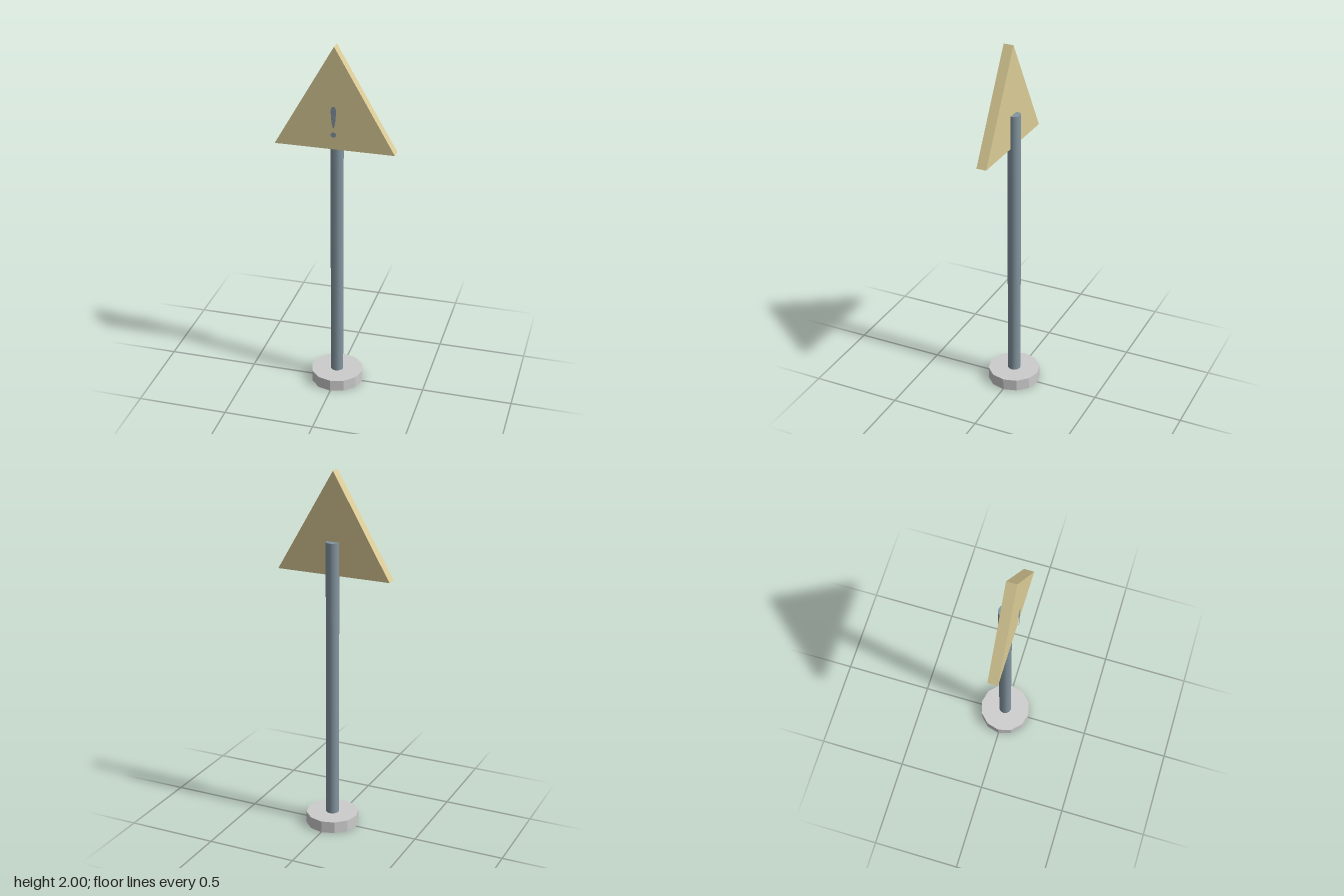
import * as THREE from 'three';

export function createModel() {
  const group = new THREE.Group();
  const mat = (name, color, extra = {}) => new THREE.MeshStandardMaterial({ name, color, ...extra });
  const concrete = mat('pale grey', 0xcccccc, { flatShading: true });
  const steel = mat('blue grey', 0x8395a0);
  const steelFlat = mat('blue grey mark', 0x8395a0, { side: THREE.DoubleSide });
  const sand = mat('sand yellow', 0xdacb96, { flatShading: true });

  const add = (name, geometry, material, y = 0, z = 0) => {
    const mesh = new THREE.Mesh(geometry, material);
    mesh.name = name;
    mesh.position.set(0, y, z);
    group.add(mesh);
  };

  // Twelve-sided foot and the pole running through it
  add('base', new THREE.CylinderGeometry(0.146, 0.146, 0.066, 12), concrete, 0.033, -0.001);
  add('pole', new THREE.CylinderGeometry(0.036, 0.036, 1.625, 12), steel, 0.8125, -0.001);

  // Triangular sign board on the front of the pole
  const triangle = new THREE.Shape([
    new THREE.Vector2(-0.323, 1.443),
    new THREE.Vector2(0.323, 1.443),
    new THREE.Vector2(0, 2),
  ]);
  add('signBoard', new THREE.ExtrudeGeometry(triangle, { depth: 0.055, bevelEnabled: false }), sand, 0, 0.003);

  // Warning mark: a tapered stroke above a dot, standing just off the board
  const stroke = new THREE.Shape();
  stroke.moveTo(0, 1.565);
  stroke.bezierCurveTo(0.008, 1.565, 0.014, 1.63, 0.014, 1.66);
  stroke.bezierCurveTo(0.014, 1.676, 0.008, 1.685, 0, 1.685);
  stroke.bezierCurveTo(-0.008, 1.685, -0.014, 1.676, -0.014, 1.66);
  stroke.bezierCurveTo(-0.014, 1.63, -0.008, 1.565, 0, 1.565);
  add('markStroke', new THREE.ShapeGeometry(stroke, 6), steelFlat, 0, 0.072);
  add('markDot', new THREE.CircleGeometry(0.0145, 16), steelFlat, 1.529, 0.072);

  return group;
}
